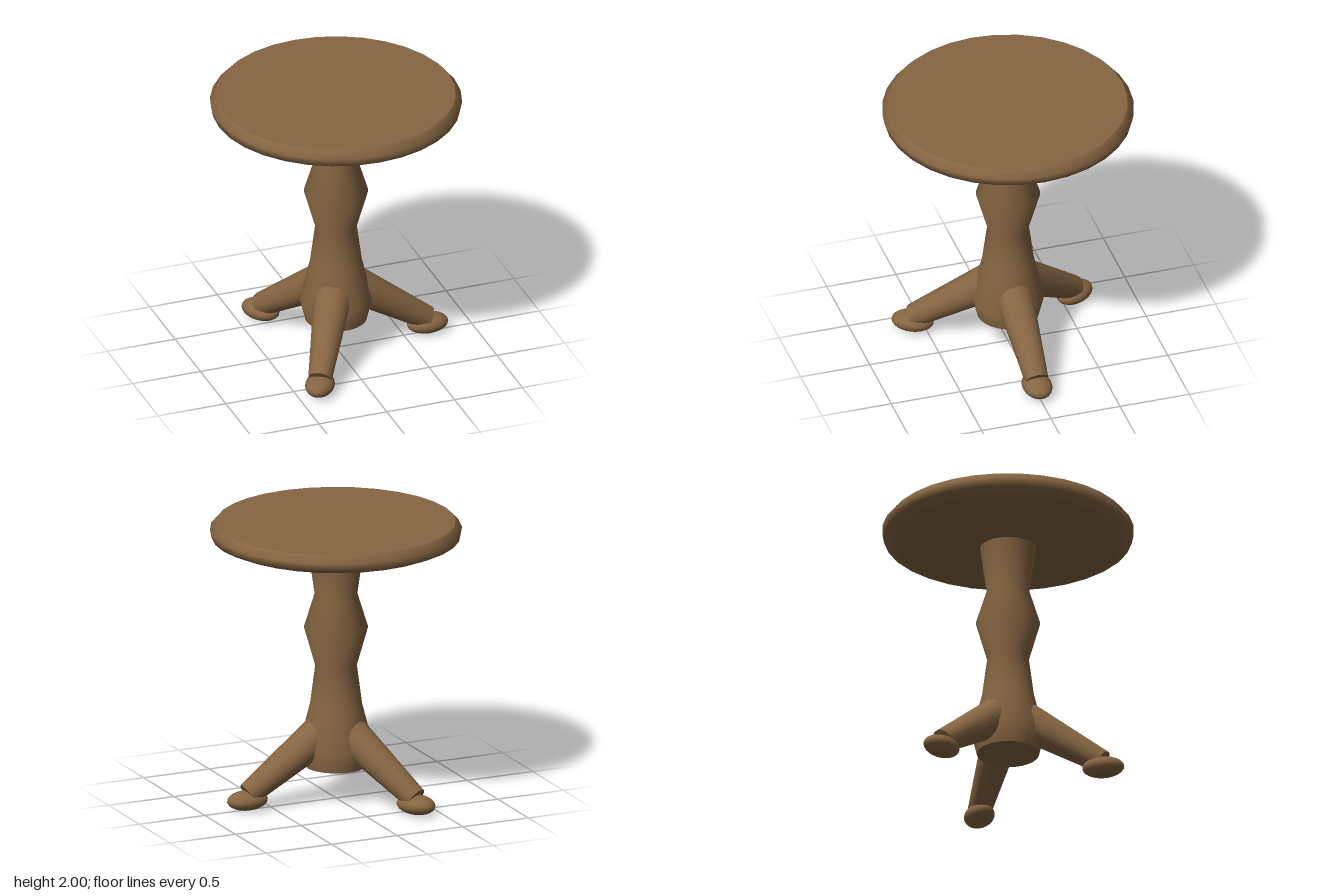
import * as THREE from 'three';
import { mergeGeometries } from 'three/addons/utils/BufferGeometryUtils.js';

// Turned solid from [radius, y] pairs, bottom to top, with flat end discs
function turned(profile, sides) {
  const side = new THREE.LatheGeometry(profile.map(([r, y]) => new THREE.Vector2(r, y)), sides);
  const [r0, y0] = profile[0];
  const [r1, y1] = profile[profile.length - 1];
  const bottom = new THREE.CircleGeometry(r0, sides).rotateX(Math.PI / 2).translate(0, y0, 0);
  const top = new THREE.CircleGeometry(r1, sides).rotateX(-Math.PI / 2).translate(0, y1, 0);
  return mergeGeometries([side, bottom, top]);
}

export function createModel() {
  const model = new THREE.Group();
  model.name = 'pedestalTable';
  const wood = new THREE.MeshStandardMaterial({ color: 0x866542 });
  wood.name = 'brown wood';

  const add = (parent, name, geometry) => {
    const mesh = new THREE.Mesh(geometry, wood);
    mesh.name = name;
    parent.add(mesh);
    return mesh;
  };

  // Round top with a bevelled rim, floating just above the column
  add(model, 'tableTop', turned([[0.785, 1.86], [0.86, 1.892], [0.872, 1.95], [0.828, 2]], 32));

  // Turned column
  add(model, 'column', turned([
    [0.215, 0.245], [0.253, 0.4], [0.18, 0.69], [0.144, 0.965],
    [0.222, 1.24], [0.148, 1.48], [0.194, 1.81],
  ], 32));

  // Three tapered legs, each ending in a flattened oval foot
  const inner = new THREE.Vector3(0.1, 0.5, 0);
  const outer = new THREE.Vector3(0.67, 0.115, 0);
  const axis = inner.clone().sub(outer);
  for (let i = 0; i < 3; i++) {
    const support = new THREE.Group();
    support.name = `support${i + 1}`;
    support.rotation.y = (i * Math.PI * 2) / 3;
    const leg = add(support, 'leg', new THREE.CylinderGeometry(0.136, 0.083, axis.length(), 16));
    leg.position.copy(inner).add(outer).multiplyScalar(0.5);
    leg.quaternion.setFromUnitVectors(new THREE.Vector3(0, 1, 0), axis.clone().normalize());
    const foot = add(support, 'foot', new THREE.SphereGeometry(1, 24, 14));
    foot.scale.set(0.148, 0.069, 0.102);
    foot.position.set(0.675, 0.074, 0);
    model.add(support);
  }
  return model;
}
